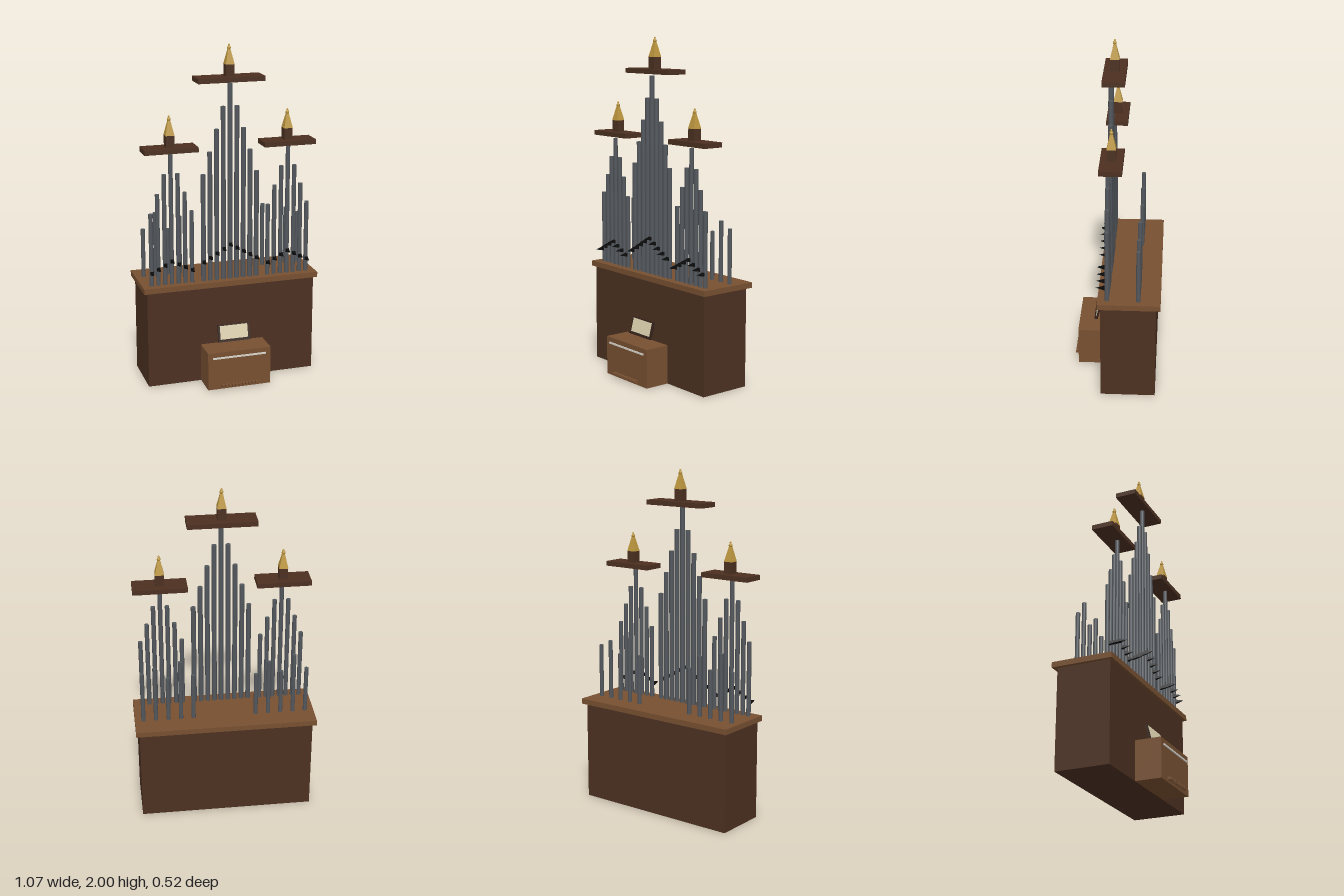
import * as THREE from 'three';

const mat = (name, color, extra = {}) => {
  const m = new THREE.MeshStandardMaterial({ color, ...extra });
  m.name = name;
  return m;
};

export function createModel() {
  const darkWood = mat('darkWood', 0x4c3021);
  const lightWood = mat('lightWood', 0x775031);
  const pipeMetal = mat('pipeMetal', 0x53585d);
  const gold = mat('gold', 0xbd973f);
  const black = mat('black', 0x0b0b0b);
  const paper = mat('paper', 0xdccfae);
  const ivory = mat('ivory', 0xd8d5cb);
  const frameWood = mat('frameWood', 0x33221a);

  const organ = new THREE.Group();
  organ.name = 'pipeOrgan';

  const add = (name, geometry, material, x, y, z, parent = organ) => {
    const mesh = new THREE.Mesh(geometry, material);
    mesh.name = name;
    mesh.position.set(x, y, z);
    parent.add(mesh);
    return mesh;
  };
  // Box given by its x centre and its y and z ranges
  const box = (name, material, x, width, y0, y1, z0, z1, parent) =>
    add(name, new THREE.BoxGeometry(width, y1 - y0, z1 - z0), material,
      x, (y0 + y1) / 2, (z0 + z1) / 2, parent);

  // Case, its lid and the console
  const deck = 0.617;
  box('case', darkWood, 0, 1.025, 0, 0.585, -0.237, 0.08);
  box('caseLid', lightWood, 0, 1.066, 0.585, deck, -0.262, 0.097);
  box('console', lightWood, 0, 0.384, 0, 0.23, 0.08, 0.234);
  box('keyboard', ivory, 0, 0.326, 0.191, 0.201, 0.23, 0.24);
  for (let i = 0; i < 11; i++) {
    box('pedal', lightWood, (i - 5) * 0.0206, 0.014, 0.012, 0.028, 0.18, 0.257);
  }

  // Leaning music stand with its sheet
  const stand = new THREE.Group();
  stand.name = 'musicStand';
  stand.position.set(0, 0.3, 0.117);
  stand.rotation.x = -0.25;
  organ.add(stand);
  box('standBoard', frameWood, 0, 0.194, -0.051, 0.051, -0.006, 0.006, stand);
  box('sheet', paper, 0, 0.17, -0.036, 0.045, 0.006, 0.009, stand);
  box('standLedge', frameWood, 0, 0.194, -0.051, -0.041, 0.006, 0.014, stand);

  const pipe = (name, x, z, top, radius) =>
    add(name, new THREE.CylinderGeometry(radius, radius, top - deck, 12),
      pipeMetal, x, (top + deck) / 2, z);

  // Pointed four-sided mouth on the front of a pipe
  const mouthGeometry = new THREE.ConeGeometry(0.015, 0.05, 4)
    .rotateY(Math.PI / 4).rotateX(Math.PI / 2).toNonIndexed();
  mouthGeometry.computeVertexNormals();

  // Square spire and its round tip
  const spireGeometry = new THREE.CylinderGeometry(0.009, 0.037, 0.088, 4)
    .rotateY(Math.PI / 4).toNonIndexed();
  spireGeometry.computeVertexNormals();
  const tipGeometry = new THREE.LatheGeometry([
    [0, -0.015], [0.008, -0.012], [0.0115, -0.004], [0.008, 0.004],
    [0.004, 0.007], [0.006, 0.012], [0.004, 0.017], [0, 0.019],
  ].map(([x, y]) => new THREE.Vector2(x, y)), 12);

  // Tower: peaked row of pipes under a canopy with a finial
  const tower = (cx, half, peak, drop, radius, canopyX, canopyW, canopyY) => {
    for (let i = -half; i <= half; i++) {
      const x = cx + i * 0.0405;
      const top = peak - Math.abs(i) * drop;
      pipe('facadePipe', x, 0.042, top, radius);
      add('pipeMouth', mouthGeometry, black, x, deck + (top - deck) * 0.183, 0.08);
    }
    const y = canopyY + 0.028;
    box('canopy', darkWood, canopyX, canopyW, canopyY, y, -0.044, 0.084);
    box('finialBase', darkWood, cx, 0.05, y, y + 0.072, -0.004, 0.046);
    add('finialSpire', spireGeometry, gold, cx, y + 0.112, 0.021);
    add('finialTip', tipGeometry, gold, cx, y + 0.163, 0.021);
  };
  tower(0, 4, 1.78, 0.13, 0.0145, 0, 0.396, 1.79);
  for (const s of [-1, 1]) tower(s * 0.354, 3, 1.392, 0.114, 0.013, s * 0.355, 0.314, 1.403);

  // Back row of shorter pipes, ordered from the middle outwards
  const backTops = { '-1': [0.89, 0.97, 0.9, 1.005, 0.91], 1: [0.91, 1.005, 0.9, 0.97, 0.935] };
  for (const s of [-1, 1]) {
    backTops[s].forEach((top, i) => pipe('backPipe', s * (0.185 + i * 0.0743), -0.135, top, 0.0125));
  }

  return organ;
}
